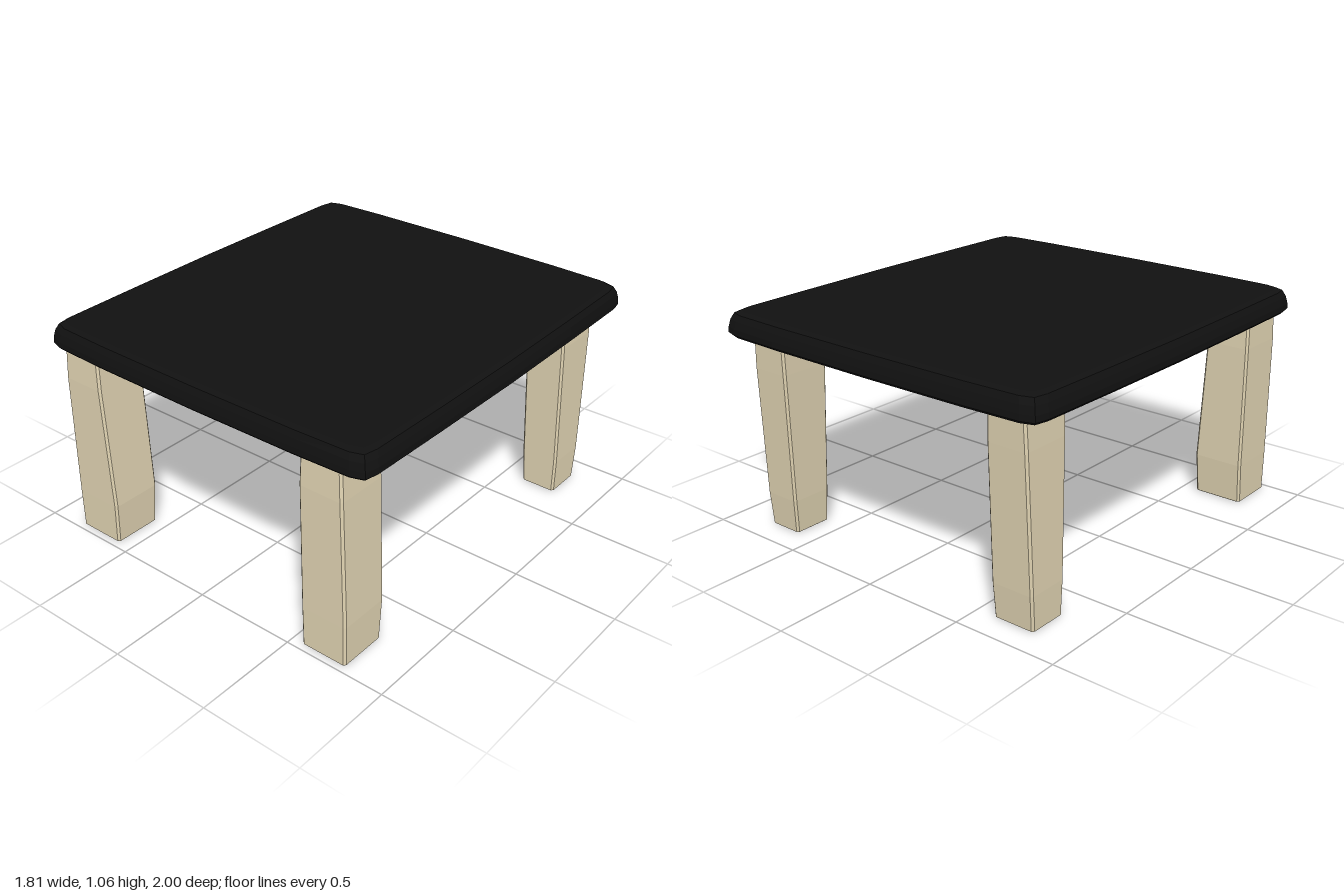
import * as THREE from 'three';

const topMaterial = new THREE.MeshStandardMaterial({ color: 0x111111, flatShading: true });
const legMaterial = new THREE.MeshStandardMaterial({ color: 0xe0d3b2, flatShading: true });

// Closed solid through stacked rings of [x, y, z] points, counter-clockwise from above, bottom first
function loft(rings) {
  const n = rings[0].length, last = (rings.length - 1) * n, index = [];
  for (let r = 0; r < rings.length - 1; r++) {
    for (let i = 0; i < n; i++) {
      const a = r * n + i, b = r * n + (i + 1) % n;
      index.push(a, b, b + n, a, b + n, a + n);
    }
  }
  for (let i = 1; i < n - 1; i++) {
    index.push(0, i + 1, i);
    index.push(last, last + i, last + i + 1);
  }
  const geometry = new THREE.BufferGeometry();
  geometry.setAttribute('position', new THREE.Float32BufferAttribute(rings.flat(2), 3));
  geometry.setIndex(index);
  geometry.computeVertexNormals();
  return geometry;
}

// Slightly barrelled outline with clipped corners, mirrored from one quarter
function topOutline() {
  const quarter = [[0.905, 0], [0.9, 0.5], [0.893, 0.9], [0.88, 0.965], [0.82, 0.985], [0.55, 0.995], [0, 1]];
  const points = [];
  for (const [sx, sz] of [[1, -1], [-1, -1], [-1, 1], [1, 1]]) {
    const run = sx * sz < 0 ? quarter : [...quarter].reverse();
    run.slice(0, -1).forEach(([x, z]) => points.push([sx * x, sz * z]));
  }
  return points;
}

// Rectangle with chamfered corners between the given limits
function legRing([y, x0, x1, z0, z1], c) {
  return [
    [x1, y, z1 - c], [x1, y, z0 + c], [x1 - c, y, z0], [x0 + c, y, z0],
    [x0, y, z0 + c], [x0, y, z1 - c], [x0 + c, y, z1], [x1 - c, y, z1],
  ];
}

export function createModel() {
  const table = new THREE.Group();
  table.name = 'table';

  // Tabletop: [height, inset] profile of the rounded rim
  const outline = topOutline();
  const rim = [[0.945, 0.012], [0.958, 0], [0.985, 0.002], [1.02, 0.01], [1.048, 0.024], [1.06, 0.045]];
  const top = new THREE.Mesh(
    loft(rim.map(([y, d]) => outline.map(([x, z]) => [x * (1 - d / 0.905), y, z * (1 - d)]))),
    topMaterial
  );
  top.name = 'tabletop';
  table.add(top);

  // Hand-cut legs, each a little different: [y, xMin, xMax, zMin, zMax]
  const legs = {
    frontLeftLeg: [
      [0.004, 0.555, 0.785, 0.73, 0.968], [0.2, 0.552, 0.787, 0.714, 0.968],
      [0.8, 0.547, 0.767, 0.707, 0.963], [0.955, 0.55, 0.757, 0.712, 0.955]],
    frontRightLeg: [
      [0.004, -0.818, -0.575, 0.73, 0.968], [0.2, -0.82, -0.569, 0.714, 0.968],
      [0.8, -0.822, -0.602, 0.707, 0.963], [0.955, -0.818, -0.61, 0.712, 0.955]],
    backLeftLeg: [
      [0.004, 0.61, 0.785, -0.87, -0.678], [0.17, 0.598, 0.787, -0.885, -0.676],
      [0.8, 0.575, 0.775, -0.915, -0.667], [0.955, 0.572, 0.765, -0.92, -0.667]],
    backRightLeg: [
      [0.004, -0.8, -0.595, -0.87, -0.678], [0.17, -0.805, -0.592, -0.885, -0.676],
      [0.8, -0.8, -0.597, -0.915, -0.667], [0.955, -0.795, -0.603, -0.92, -0.667]],
  };
  for (const [name, sections] of Object.entries(legs)) {
    const foot = sections[0].map((v, i) => (i === 0 ? 0 : v + (i % 2 ? 0.006 : -0.006)));
    const leg = new THREE.Mesh(loft([foot, ...sections].map((s) => legRing(s, 0.01))), legMaterial);
    leg.name = name;
    table.add(leg);
  }

  return table;
}
